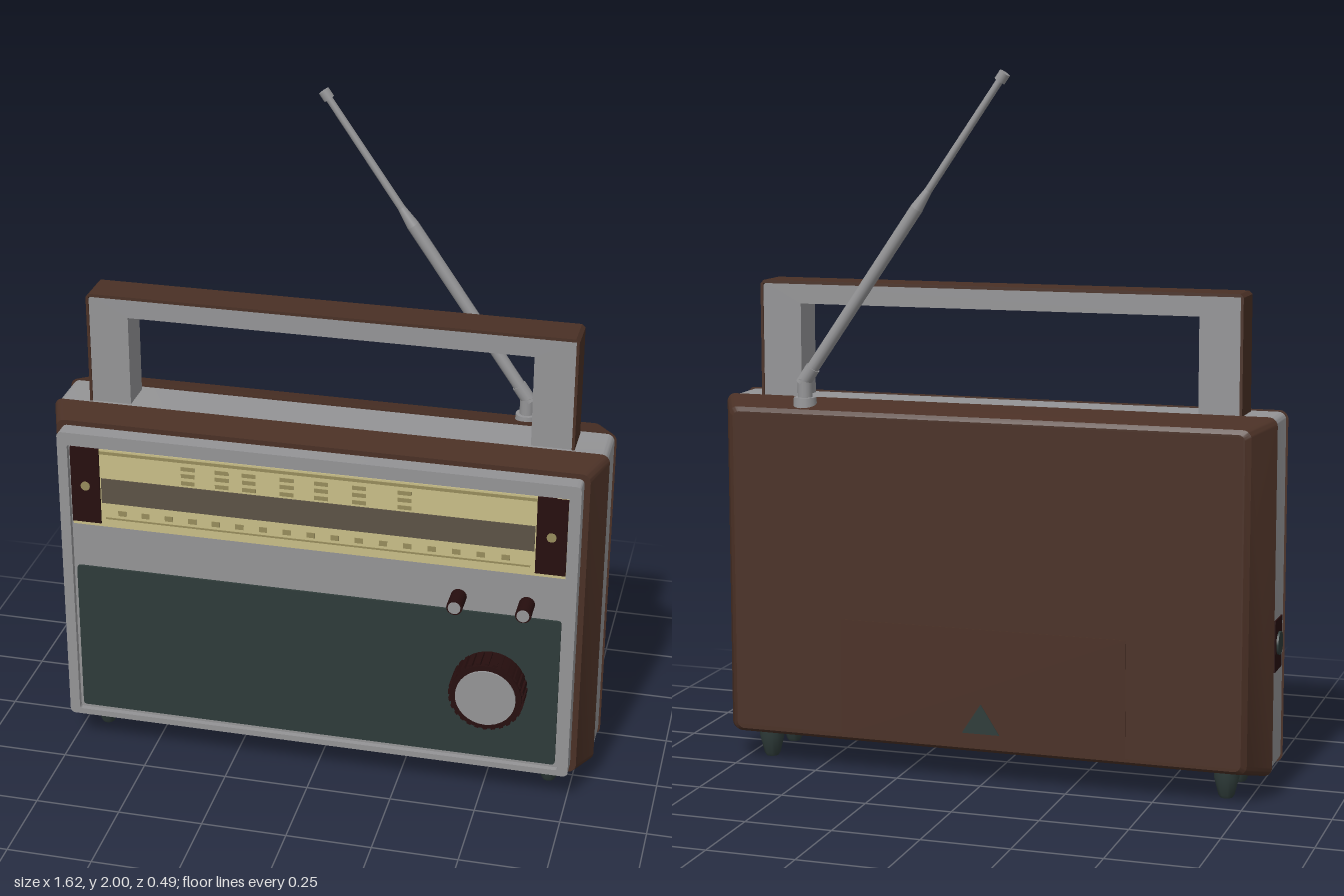
import * as THREE from 'three';
import { toCreasedNormals } from 'three/addons/utils/BufferGeometryUtils.js';

const paint = (name, color) => {
  const m = new THREE.MeshStandardMaterial({ color });
  m.name = name;
  return m;
};

// Rounded rectangle, counter-clockwise
function roundRect(x0, x1, y0, y1, r, Type = THREE.Shape) {
  const s = new Type();
  s.absarc(x1 - r, y0 + r, r, -Math.PI / 2, 0);
  s.absarc(x1 - r, y1 - r, r, 0, Math.PI / 2);
  s.absarc(x0 + r, y1 - r, r, Math.PI / 2, Math.PI);
  s.absarc(x0 + r, y0 + r, r, Math.PI, Math.PI * 1.5);
  return s;
}

// Capped loft through rounded rectangles [z, halfWidth, y0, y1, radius], z rising
function loft(sections) {
  const pos = [], idx = [];
  let n = 0, outline;
  for (const [z, hw, y0, y1, r] of sections) {
    const shape = roundRect(-hw, hw, y0, y1, r);
    const pts = shape.getPoints(4);
    if (pts[0].distanceTo(pts[pts.length - 1]) < 1e-6) pts.pop();
    n = pts.length;
    outline = pts;
    pts.forEach(p => pos.push(p.x, p.y, z));
  }
  for (let i = 0; i < sections.length - 1; i++)
    for (let j = 0; j < n; j++) {
      const a = i * n + j, b = i * n + (j + 1) % n;
      idx.push(a, b, b + n, a, b + n, a + n);
    }
  const last = (sections.length - 1) * n;
  for (const [a, b, c] of THREE.ShapeUtils.triangulateShape(outline, [])) {
    idx.push(c, b, a, last + a, last + b, last + c);
  }
  const g = new THREE.BufferGeometry();
  g.setAttribute('position', new THREE.Float32BufferAttribute(pos, 3));
  g.setIndex(idx);
  return toCreasedNormals(g, 0.45);
}

function extrude(shape, z0, z1) {
  const g = new THREE.ExtrudeGeometry(shape, { depth: z1 - z0, bevelEnabled: false, curveSegments: 5 });
  return toCreasedNormals(g.translate(0, 0, z0), 0.5);
}

export function createModel() {
  const model = new THREE.Group();
  model.name = 'portableRadio';

  const brown = paint('brown leatherette', 0x4a3025);
  const silver = paint('silver', 0x949496);
  const green = paint('dark green', 0x2e3b39);
  const maroon = paint('dark maroon', 0x260e0e);
  const cream = paint('dial cream', 0xc8be87);
  const taupe = paint('dial band', 0x5c5245);
  const olive = paint('dial marks', 0x978c5c);

  const add = (name, geo, mat, parent = model) => {
    const m = new THREE.Mesh(geo, mat);
    m.name = name;
    parent.add(m);
    return m;
  };
  const box = (name, mat, x0, x1, y0, y1, z0, z1, parent) =>
    add(name, new THREE.BoxGeometry(x1 - x0, y1 - y0, z1 - z0)
      .translate((x0 + x1) / 2, (y0 + y1) / 2, (z0 + z1) / 2), mat, parent);
  // Turned part whose axis runs along +z
  const turned = (name, mat, r, x, y, z0, z1, seg = 24) =>
    add(name, new THREE.CylinderGeometry(r, r, z1 - z0, seg).rotateX(Math.PI / 2)
      .translate(x, y, (z0 + z1) / 2), mat);

  // Case: tapered back, silver middle band, tapered front
  add('backShell', loft([
    [-0.243, 0.745, 0.105, 1.035, 0.02],
    [-0.232, 0.76, 0.095, 1.047, 0.025],
    [-0.132, 0.81, 0.068, 1.07, 0.025]]), brown);
  add('middleBand', loft([
    [-0.133, 0.804, 0.073, 1.065, 0.022],
    [0.014, 0.804, 0.073, 1.065, 0.022]]), silver);
  add('frontShell', loft([
    [0.013, 0.81, 0.068, 1.07, 0.025],
    [0.115, 0.772, 0.085, 1.053, 0.025]]), brown);

  // Front bezel frame around a recessed panel
  const frame = roundRect(-0.755, 0.755, 0.1, 1.038, 0.015);
  frame.holes.push(roundRect(-0.725, 0.725, 0.118, 1.0, 0.008, THREE.Path));
  add('bezelFrame', extrude(frame, 0.11, 0.166), silver);
  box('frontPanel', silver, -0.73, 0.73, 0.11, 1.005, 0.11, 0.15);
  add('speakerGrille', extrude(roundRect(-0.715, 0.715, 0.13, 0.605, 0.01), 0.148, 0.157), green);

  // Tuning dial
  const dial = new THREE.Group();
  dial.name = 'tuningDial';
  model.add(dial);
  box('dialPlate', cream, -0.72, 0.72, 0.742, 0.99, 0.148, 0.153, dial);
  box('dialBand', taupe, -0.63, 0.63, 0.82, 0.898, 0.152, 0.156, dial);
  box('dialTopLine', olive, -0.72, 0.72, 0.975, 0.984, 0.152, 0.155, dial);
  box('dialBaseLine', olive, -0.62, 0.62, 0.768, 0.773, 0.152, 0.155, dial);
  for (const x of [-0.37, -0.27, -0.19, -0.08, 0.02, 0.13, 0.26])
    for (const y of [0.905, 0.928, 0.95])
      box('stationMark', olive, x - 0.02, x + 0.02, y, y + 0.012, 0.152, 0.155, dial);
  for (let i = 0; i < 17; i++) {
    const x = -0.57 + i * 0.07;
    box('scaleMark', olive, x - 0.012, x + 0.012, 0.782, 0.798, 0.152, 0.155, dial);
  }
  for (const s of [-1, 1]) {
    box('dialEnd', maroon, s * 0.677 - 0.043, s * 0.677 + 0.043, 0.753, 0.99, 0.15, 0.158, dial);
    turned('dialEndPip', olive, 0.014, s * 0.677, 0.87, 0.157, 0.161, 12);
  }

  // Large ribbed knob and two small ones
  turned('knobBody', maroon, 0.103, 0.52, 0.38, 0.15, 0.24, 32);
  for (let i = 0; i < 28; i++) {
    const a = i / 28 * Math.PI * 2;
    const rib = box('knobRib', maroon, -0.006, 0.006, -0.006, 0.006, 0.17, 0.236);
    rib.position.set(0.52 + Math.cos(a) * 0.103, 0.38 + Math.sin(a) * 0.103, 0);
    rib.rotation.z = a;
  }
  turned('knobFace', silver, 0.087, 0.52, 0.38, 0.239, 0.246, 32);
  for (const x of [0.42, 0.615]) {
    turned('smallKnob', maroon, 0.023, x, 0.647, 0.148, 0.219, 16);
    turned('smallKnobFace', silver, 0.018, x, 0.647, 0.218, 0.223, 16);
  }

  // Handle: silver arch wrapped by a thin brown strap
  const arch = (outX, outY, inX, inY) => {
    const s = new THREE.Shape();
    s.moveTo(-outX, 1.06);
    s.lineTo(-inX, 1.06);
    s.lineTo(-inX, inY);
    s.lineTo(inX, inY);
    s.lineTo(inX, 1.06);
    s.lineTo(outX, 1.06);
    s.lineTo(outX, outY - 0.01);
    s.lineTo(outX - 0.01, outY);
    s.lineTo(-outX + 0.01, outY);
    s.lineTo(-outX, outY - 0.01);
    return s;
  };
  add('handleArch', extrude(arch(0.702, 1.393, 0.585, 1.335), -0.113, -0.007), silver);
  add('handleStrap', extrude(arch(0.708, 1.4, 0.7, 1.391), -0.116, -0.004), brown);

  // Four tapered feet
  const footProfile = [[0, 0], [0.018, 0], [0.023, 0.008], [0.036, 0.06], [0.036, 0.1]]
    .map(p => new THREE.Vector2(...p));
  for (const x of [-0.683, 0.683])
    for (const z of [0.03, -0.135])
      add('foot', toCreasedNormals(new THREE.LatheGeometry(footProfile, 16), 0.7), green).position.set(x, 0, z);

  // Telescopic antenna on a swivel post
  const antenna = new THREE.Group();
  antenna.name = 'antenna';
  antenna.position.set(0.543, 1.05, -0.19);
  model.add(antenna);
  add('antennaBase', new THREE.CylinderGeometry(0.032, 0.034, 0.03, 16).translate(0, 0.012, 0), silver, antenna);
  add('antennaPost', new THREE.CylinderGeometry(0.021, 0.021, 0.07, 14).translate(0, 0.045, 0), silver, antenna);
  const rod = new THREE.Group();
  rod.name = 'antennaRod';
  rod.position.y = 0.075;
  rod.rotation.z = Math.atan2(0.597, 0.865);
  antenna.add(rod);
  for (const [name, r0, r1, y0, y1] of [
    ['rodSocket', 0.021, 0.021, -0.012, 0.045], ['rodThick', 0.018, 0.018, 0.04, 0.6],
    ['rodCollar', 0.018, 0.011, 0.6, 0.66], ['rodThin', 0.011, 0.01, 0.65, 1.03],
    ['rodTip', 0.016, 0.016, 1.025, 1.052]])
    add(name, new THREE.CylinderGeometry(r1, r0, y1 - y0, 14).translate(0, (y0 + y1) / 2, 0), silver, rod);

  // Side socket
  box('socketPlate', maroon, -0.808, -0.8, 0.355, 0.5, -0.105, -0.015);
  add('socket', new THREE.CylinderGeometry(0.033, 0.033, 0.012, 16).rotateZ(Math.PI / 2)
    .translate(-0.808, 0.43, -0.06), green);

  // Battery door and its latch on the back
  box('batteryDoor', brown, -0.42, 0.42, 0.11, 0.45, -0.245, -0.24);
  const latch = new THREE.Shape([[-0.055, 0.15], [0.055, 0.15], [0, 0.235]].map(p => new THREE.Vector2(...p)));
  add('doorLatch', extrude(latch, -0.248, -0.242), green);

  return model;
}
